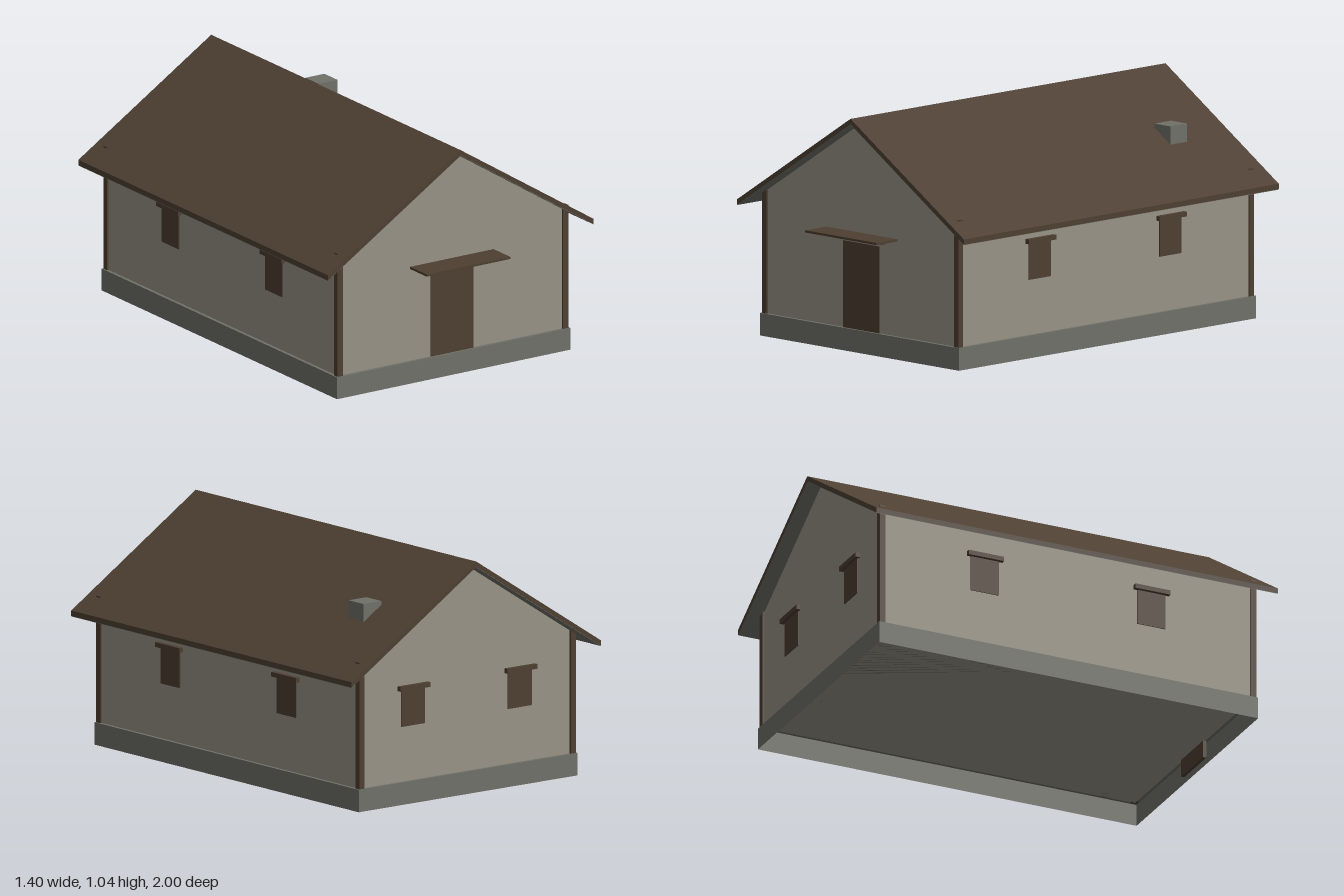
import * as THREE from 'three';

const mat = (name, color, side = THREE.FrontSide) => {
  const m = new THREE.MeshStandardMaterial({ color, side });
  m.name = name;
  return m;
};

export function createModel() {
  const plaster = mat('plaster', 0x979285);
  const stone = mat('stone', 0x6f7068, THREE.DoubleSide);
  const roofing = mat('roof shingles', 0x4e4033);
  const wood = mat('dark wood', 0x4e3f30);

  const house = new THREE.Group();
  house.name = 'cottage';

  // The house body is centred a little behind the origin, as the canopy sticks out in front
  const zc = -0.03;

  const add = (name, geometry, material, parent = house) => {
    const mesh = new THREE.Mesh(geometry, material);
    mesh.name = name;
    parent.add(mesh);
    return mesh;
  };
  // Box given by its min and max corners
  const box = (name, material, [x0, y0, z0], [x1, y1, z1], parent) => {
    const mesh = add(name, new THREE.BoxGeometry(x1 - x0, y1 - y0, z1 - z0), material, parent);
    mesh.position.set((x0 + x1) / 2, (y0 + y1) / 2, (z0 + z1) / 2);
    return mesh;
  };
  // Outline in x and y, extruded along z about the house centre
  const prism = (name, material, points, length) => {
    const shape = new THREE.Shape(points.map(([x, y]) => new THREE.Vector2(x, y)));
    const g = new THREE.ExtrudeGeometry(shape, { depth: length, bevelEnabled: false });
    g.translate(0, 0, zc - length / 2);
    return add(name, g, material);
  };

  // Foundation: open skirt with a floor on top
  const foundation = prism('foundationSkirt', stone,
    [[-0.615, 0], [0.615, 0], [0.615, 0.1], [-0.615, 0.1]], 1.83);
  foundation.geometry.dispose();
  foundation.geometry = new THREE.BoxGeometry(1.23, 0.1, 1.83);
  foundation.geometry.translate(0, 0.05, zc);
  // leave out the bottom face
  const index = Array.from(foundation.geometry.index.array);
  index.splice(18, 6);
  foundation.geometry.setIndex(index);
  foundation.geometry.clearGroups();

  // Walls with both gables
  prism('walls', plaster,
    [[-0.6, 0.1], [0.6, 0.1], [0.6, 0.637], [0, 1.018], [-0.6, 0.637]], 1.8);

  // Roof: a folded slab with a thin lining below
  const fold = (top, bottom) => [
    [-0.7, 0.6 - bottom], [0, 1.045 - bottom], [0.7, 0.6 - bottom],
    [0.7, 0.6 - top], [0, 1.045 - top], [-0.7, 0.6 - top],
  ];
  prism('roof', roofing, fold(0, 0.024), 1.94);
  prism('roofLining', stone, fold(0.024, 0.026), 1.938);

  // Chimney
  box('chimney', stone, [0.31, 0.72, -0.725], [0.41, 0.865, -0.622]);

  // Corner posts, just breaking through the roof
  for (const sx of [-1, 1]) {
    for (const sz of [-1, 1]) {
      const post = add('cornerPost', new THREE.BoxGeometry(0.028, 0.565, 0.028), wood);
      post.position.set(sx * 0.594, 0.3825, zc + sz * 0.896);
    }
  }

  // Door, lintel and canopy
  box('door', wood, [-0.112, 0.02, 0.86], [0.112, 0.485, 0.875]);
  box('doorLintel', wood, [-0.15, 0.5, 0.86], [0.15, 0.521, 0.897]);
  box('doorCanopy', wood, [-0.22, 0.521, 0.86], [0.22, 0.531, 1]);

  // Windows with lintels, built facing +z on the wall plane
  const addWindow = (x, z, turn) => {
    const w = new THREE.Group();
    w.name = 'window';
    box('shutter', wood, [-0.067, 0.345, -0.004], [0.067, 0.507, 0.004], w);
    box('windowLintel', wood, [-0.085, 0.507, -0.01], [0.085, 0.528, 0.02], w);
    w.position.set(x, 0, z);
    w.rotation.y = turn;
    house.add(w);
  };
  for (const s of [-1, 1]) {
    for (const z of [0.375, -0.43]) addWindow(s * 0.6, z, s * Math.PI / 2);
    addWindow(s * 0.3, -0.93, Math.PI);
  }

  return house;
}
